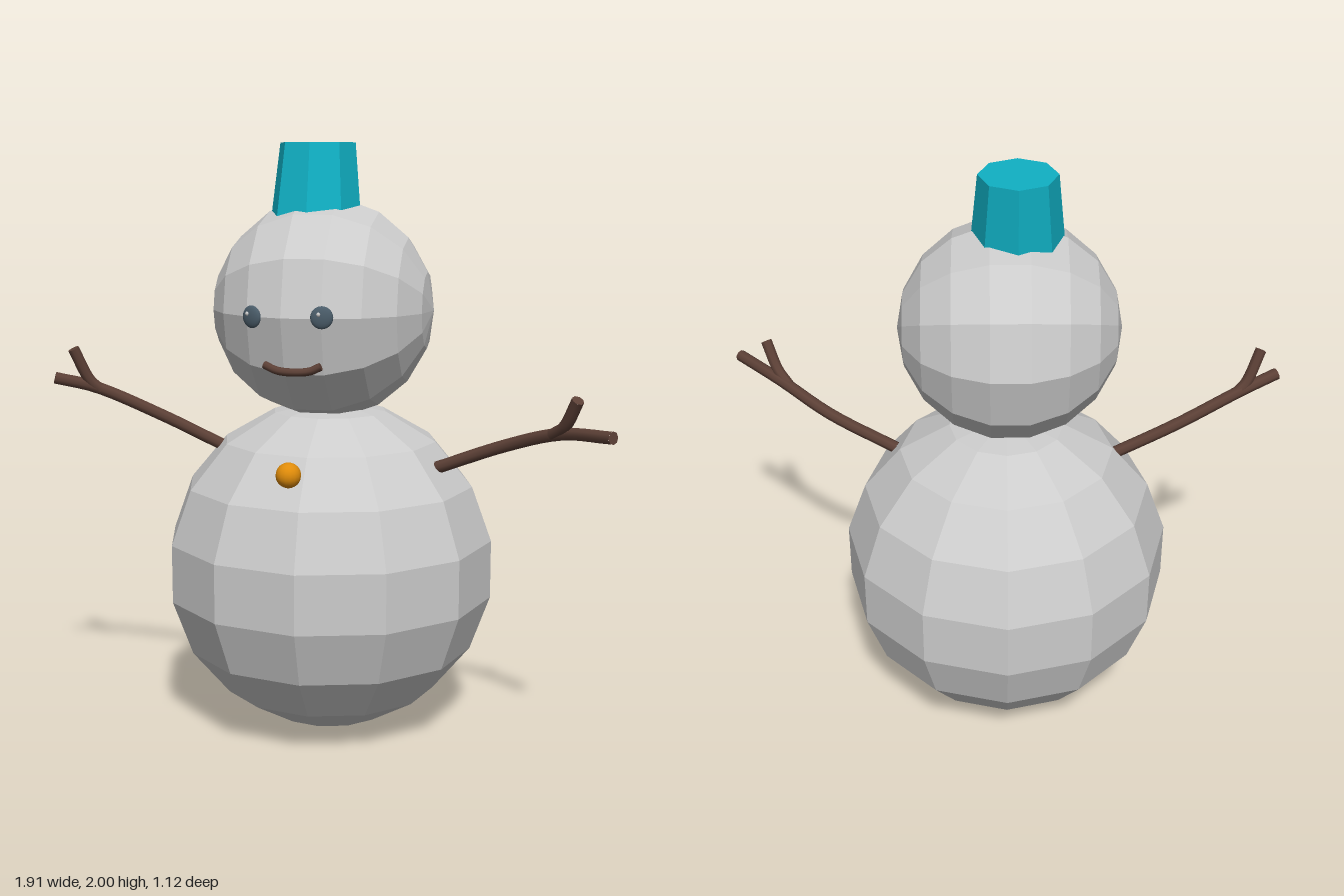
import * as THREE from 'three';

const paint = (color, flatShading = false) => new THREE.MeshStandardMaterial({ color, flatShading });
const vec = (p) => new THREE.Vector3(...p);

function add(parent, name, geometry, material, position = [0, 0, 0]) {
  const mesh = new THREE.Mesh(geometry, material);
  mesh.name = name;
  mesh.position.set(...position);
  parent.add(mesh);
  return mesh;
}

// A round stick along a curve, closed by a flat disc at each end
function stick(name, points, radius, material) {
  const group = new THREE.Group();
  group.name = name;
  const curve = new THREE.CatmullRomCurve3(points.map(vec));
  add(group, name + 'Bark', new THREE.TubeGeometry(curve, 16, radius, 8), material);
  for (const t of [0, 1]) {
    const end = curve.getPoint(t);
    const cap = add(group, name + 'End', new THREE.CircleGeometry(radius, 8), material, end.toArray());
    const out = curve.getTangent(t).multiplyScalar(t ? 1 : -1);
    cap.lookAt(end.clone().add(out));
  }
  return group;
}

export function createModel() {
  const model = new THREE.Group();
  model.name = 'snowman';
  const snow = paint(0xcccccc, true);
  const wood = paint(0x5c4036);
  const eyePaint = paint(0x4a5c69);

  // Faceted snowballs; the head is rolled so its poles point sideways
  add(model, 'body', new THREE.SphereGeometry(0.567, 12, 9), snow, [-0.015, 0.572, 0]);
  const headCentre = vec([-0.025, 1.455, 0.045]);
  const head = add(model, 'head', new THREE.SphereGeometry(0.37, 12, 9), snow, headCentre.toArray());
  head.rotation.z = Math.PI / 2;

  // Bucket hat, narrowing and leaning back towards the top
  const hat = new THREE.CylinderGeometry(0.127, 0.153, 0.26, 8);
  const pos = hat.attributes.position;
  for (let i = 0; i < pos.count; i++) {
    if (pos.getY(i) > 0) pos.setZ(i, pos.getZ(i) - 0.037);
  }
  hat.computeVertexNormals();
  add(model, 'hat', hat, paint(0x10b0c4, true), [-0.05, 1.87, 0.06]);

  // Flattened eyes lying against the head, each with a small glint
  for (const [side, at] of [['right', [-0.19, 1.455, 0.372]], ['left', [0.043, 1.46, 0.408]]]) {
    const eye = new THREE.Group();
    eye.name = side + 'Eye';
    eye.position.set(...at);
    eye.lookAt(vec(at).multiplyScalar(2).sub(headCentre));
    add(eye, side + 'Pupil', new THREE.SphereGeometry(0.036, 16, 12), eyePaint).scale.z = 0.35;
    add(eye, side + 'Glint', new THREE.SphereGeometry(0.007, 8, 6), paint(0xcccccc), [-0.01, 0.01, 0.01]);
    model.add(eye);
  }

  // Smile
  model.add(stick('mouth', [
    [-0.152, 1.303, 0.365], [-0.11, 1.287, 0.376], [-0.055, 1.283, 0.385],
    [0, 1.288, 0.385], [0.035, 1.304, 0.385],
  ], 0.013, wood));

  // Button
  add(model, 'button', new THREE.SphereGeometry(0.041, 16, 12), paint(0xe08c0a), [-0.062, 0.96, 0.425]);

  // Forked twig arms
  const arms = {
    rightArm: {
      limb: [[-0.36, 0.96, 0.02], [-0.6, 1.075, 0.045], [-0.82, 1.175, 0.1], [-0.945, 1.21, 0.152]],
      fork: [[-0.8, 1.165, 0.095], [-0.835, 1.2, 0.11], [-0.88, 1.31, 0.14]],
    },
    leftArm: {
      limb: [[0.37, 0.94, 0.11], [0.6, 1.035, 0.18], [0.78, 1.1, 0.3], [0.945, 1.12, 0.45]],
      fork: [[0.755, 1.095, 0.285], [0.795, 1.13, 0.33], [0.835, 1.22, 0.378]],
    },
  };
  for (const [name, { limb, fork }] of Object.entries(arms)) {
    const arm = new THREE.Group();
    arm.name = name;
    arm.add(stick(name + 'Limb', limb, 0.021, wood), stick(name + 'Fork', fork, 0.02, wood));
    model.add(arm);
  }
  return model;
}
